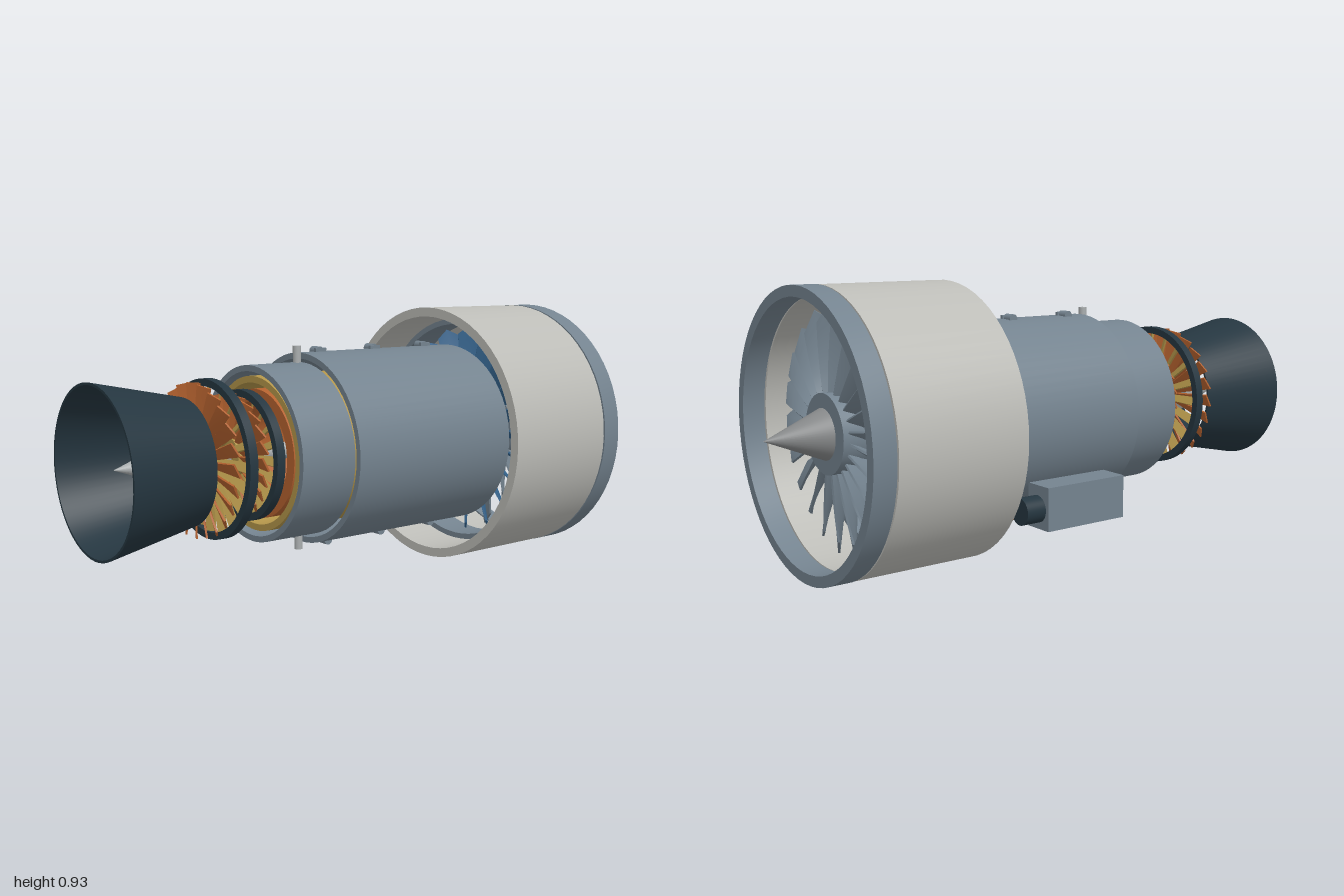
import * as THREE from 'three';
import { toCreasedNormals } from 'three/addons/utils/BufferGeometryUtils.js';

const AXIS_Y = 0.467;

function material(name, color) {
  const m = new THREE.MeshStandardMaterial({ color });
  m.name = name;
  return m;
}

export function createModel() {
  const model = new THREE.Group();
  model.name = 'turbofanEngine';
  const slate = material('slate', 0x74838f);
  const silver = material('silver', 0xbcbcb7);
  const dark = material('darkSteel', 0x253640);
  const copper = material('copper', 0xb5622f);
  const gold = material('gold', 0xb4964a);
  const blue = material('blueSteel', 0x35658f);
  const grey = material('grey', 0x868889);
  const pale = material('paleMetal', 0xa9adae);

  // Everything in the engine group turns around the x axis
  const engine = new THREE.Group();
  engine.name = 'engine';
  engine.position.y = AXIS_Y;
  model.add(engine);

  function add(name, geometry, mat, x = 0, y = 0, z = 0, parent = engine) {
    const mesh = new THREE.Mesh(geometry, mat);
    mesh.name = name;
    mesh.position.set(x, y, z);
    parent.add(mesh);
    return mesh;
  }

  // Solid cylinder or cone from x0 to x1
  function rod(name, mat, x0, x1, r0, r1 = r0, y = 0, z = 0) {
    const g = new THREE.CylinderGeometry(r1, r0, x1 - x0, 48).rotateZ(-Math.PI / 2);
    return add(name, g, mat, (x0 + x1) / 2, y, z);
  }

  // Hollow tube with wall thickness; the radius may change from x0 to x1
  function tube(name, mat, x0, x1, r0, wall, r1 = r0) {
    const profile = [[r0, x0], [r1, x1], [r1 - wall, x1], [r0 - wall, x0], [r0, x0]]
      .map(p => new THREE.Vector2(...p));
    const g = new THREE.LatheGeometry(profile, 64).rotateZ(-Math.PI / 2);
    return add(name, toCreasedNormals(g, 0.6), mat);
  }

  // Twisted blade along +y, chord and pitch given at root and tip
  function bladeGeometry({ r0, r1, chord0, chord1, pitch0, pitch1, thick, point = 0 }) {
    const g = new THREE.BoxGeometry(1, 1, 1, 2, 6, 1);
    const p = g.attributes.position;
    for (let i = 0; i < p.count; i++) {
      const t = p.getY(i) + 0.5;
      const u = p.getX(i);
      const pitch = THREE.MathUtils.degToRad(pitch0 + (pitch1 - pitch0) * t);
      const c = u * (chord0 + (chord1 - chord0) * t);
      const n = p.getZ(i) * thick;
      const tip = r1 - point * Math.abs(u) * 2;
      p.setXYZ(i, c * Math.sin(pitch) - n * Math.cos(pitch), r0 + (tip - r0) * t,
        c * Math.cos(pitch) + n * Math.sin(pitch));
    }
    return toCreasedNormals(g, 0.5);
  }

  function bladeRow(name, mat, x, count, spec, offset = 0) {
    const row = new THREE.Group();
    row.name = name;
    row.position.x = x;
    engine.add(row);
    const g = bladeGeometry(spec);
    for (let i = 0; i < count; i++) {
      add('blade', g, mat, 0, 0, 0, row).rotation.x = offset + (i / count) * Math.PI * 2;
    }
  }

  // Nacelle and inlet lip
  tube('nacelle', silver, 0.347, 0.80, 0.466, 0.033);
  tube('inletLip', slate, 0.806, 0.882, 0.467, 0.036);

  // Fan
  rod('spinner', grey, 0.80, 1.0, 0.083, 0);
  rod('fanHub', slate, 0.67, 0.797, 0.13);
  bladeRow('fan', slate, 0.73, 22, {
    r0: 0.12, r1: 0.412, chord0: 0.105, chord1: 0.115, pitch0: 68, pitch1: 30, thick: 0.007, point: 0.06,
  }, -0.13);

  // Guide vanes with their outer ring
  tube('guideVaneRing', slate, 0.50, 0.62, 0.421, 0.02);
  rod('guideVaneHub', slate, 0.52, 0.60, 0.13);
  bladeRow('guideVanes', blue, 0.56, 20, {
    r0: 0.12, r1: 0.392, chord0: 0.06, chord1: 0.08, pitch0: 70, pitch1: 45, thick: 0.007, point: 0.03,
  });

  // Core casing
  tube('coreCasing', slate, -0.23, 0.45, 0.326, 0.02);
  tube('rearCasing', slate, -0.432, -0.225, 0.294, 0.02);
  rod('shaft', pale, -0.70, 0.68, 0.028);

  // Compressor stages inside the core
  for (let i = 0; i < 4; i++) {
    const x = 0.40 - i * 0.11;
    rod('compressorDisc', slate, x - 0.02, x + 0.02, 0.12);
    bladeRow('compressorBlades', blue, x, 24, {
      r0: 0.11, r1: 0.295 - i * 0.012, chord0: 0.045, chord1: 0.045, pitch0: 50, pitch1: 35, thick: 0.006,
    }, i * 0.1);
  }

  // Combustor
  tube('combustorOuterLiner', gold, -0.42, -0.10, 0.258, 0.022);
  tube('combustorInnerLiner', copper, -0.41, -0.10, 0.215, 0.04);

  // Turbine stages: copper rotors, and gold vanes held in dark rings
  for (const [x, r] of [[-0.645, 0.25], [-0.513, 0.208]]) {
    rod('turbineDisc', gold, x - 0.012, x + 0.012, 0.07);
    bladeRow('turbineBlades', copper, x, 24, {
      r0: 0.06, r1: r, chord0: 0.025, chord1: 0.05, pitch0: 45, pitch1: 28, thick: 0.006,
    });
  }
  for (const [x, r] of [[-0.59, 0.26], [-0.46, 0.217]]) {
    tube('statorRing', dark, x - 0.015, x + 0.015, r, 0.024);
    bladeRow('statorVanes', gold, x, 20, {
      r0: 0.045, r1: r - 0.02, chord0: 0.02, chord1: 0.035, pitch0: -35, pitch1: -35, thick: 0.006,
    });
  }
  rod('statorHub', dark, -0.485, -0.42, 0.052);

  // Exhaust nozzle and its plug
  tube('exhaustNozzle', dark, -1.0, -0.688, 0.272, 0.008, 0.207);
  rod('exhaustPlug', pale, -0.93, -0.69, 0, 0.085);

  // Fittings along the top and bottom of the casing
  for (const side of [1, -1]) {
    for (const x of [-0.144, 0.096, 0.336]) {
      const clip = new THREE.Group();
      clip.name = 'casingFitting';
      clip.position.x = x;
      clip.rotation.x = side > 0 ? 0 : Math.PI;
      engine.add(clip);
      add('stem', new THREE.CylinderGeometry(0.016, 0.016, 0.04, 16).rotateX(Math.PI / 2), slate,
        0, 0.327, -0.022, clip);
      add('foot', new THREE.BoxGeometry(0.044, 0.022, 0.012), slate, 0, 0.327, -0.002, clip);
    }
    add('probe', new THREE.CylinderGeometry(0.014, 0.014, 0.07, 16), pale, -0.243, side * 0.315, 0);
  }

  // Accessory gearbox with its generator and oil pipe
  add('gearbox', new THREE.BoxGeometry(0.32, 0.145, 0.108), slate, 0.038, 0.206, -0.316, model);
  rod('generator', dark, 0.19, 0.27, 0.045, 0.045, 0.20 - AXIS_Y, -0.312);
  const pipe = new THREE.CurvePath();
  const a = new THREE.Vector3(-0.12, 0.145, -0.185);
  const b = new THREE.Vector3(0.205, 0.145, -0.185);
  const c = new THREE.Vector3(0.205, 0.172, -0.29);
  pipe.add(new THREE.LineCurve3(a, b));
  pipe.add(new THREE.LineCurve3(b, c));
  for (const line of pipe.curves) {
    add('oilPipe', new THREE.TubeGeometry(line, 1, 0.01, 12), copper, 0, 0, 0, model);
  }
  for (const p of [a, b, c]) {
    add('oilPipeJoint', new THREE.SphereGeometry(0.01, 12, 8), copper, p.x, p.y, p.z, model);
  }
  return model;
}
